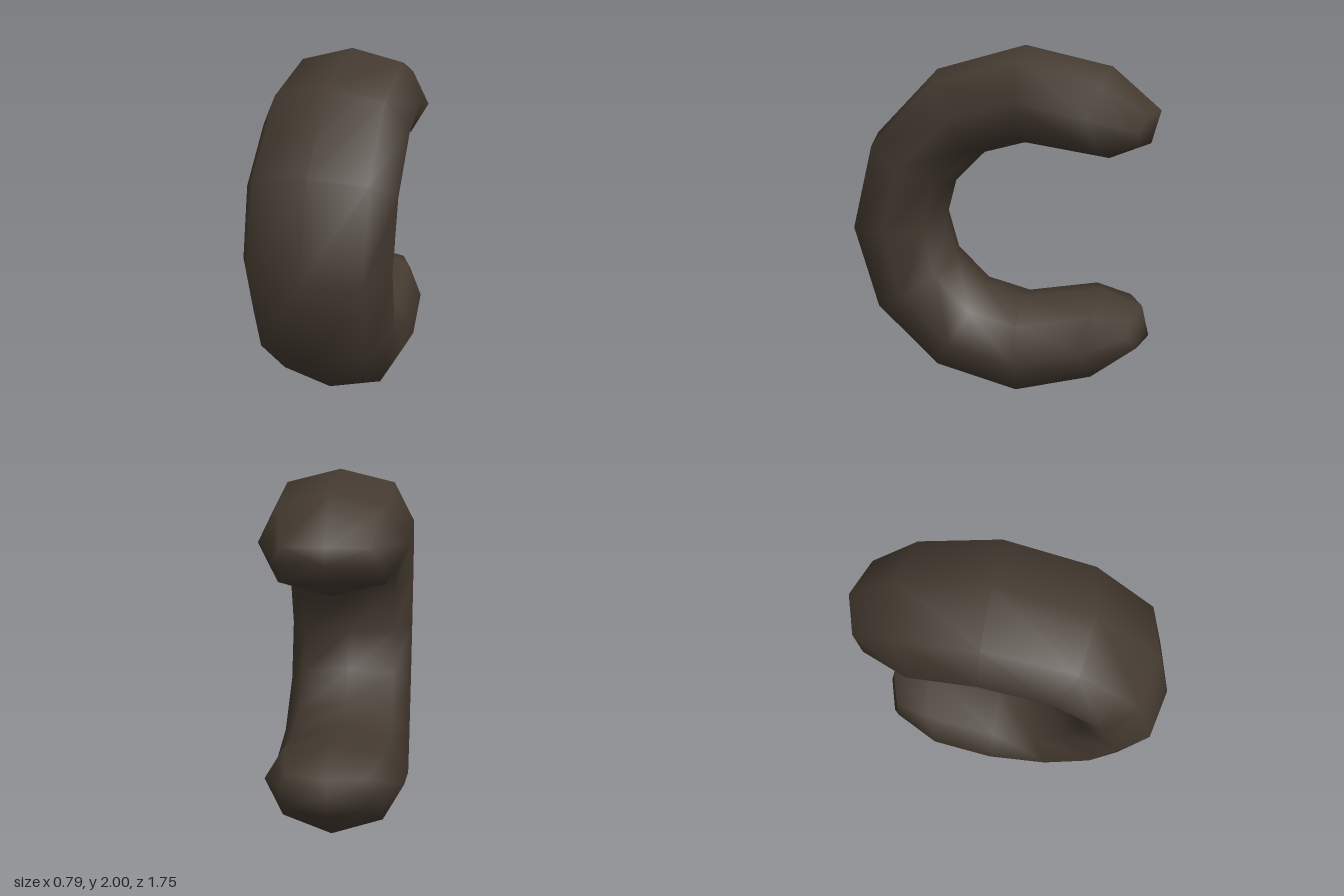
import * as THREE from 'three';

// Half of the eight-sided tube section: [x, radius from the arc centre]
const SECTION = [[0, 1], [0.29, 0.93], [0.397, 0.73], [0.29, 0.535], [0, 0.465]];
// Upper tip half sections, outer to inner: [x, height above centre, z]
const SHOULDER = [[0, 0.89, -0.6], [0.27, 0.82, -0.55], [0.38, 0.64, -0.49], [0.27, 0.45, -0.55], [0, 0.39, -0.6]];
const TIP = [[0, 0.66, -0.87], [0.21, 0.65, -0.8], [0.26, 0.57, -0.75], [0.21, 0.49, -0.76], [0, 0.48, -0.825]];
const CAP = [0, 0.57, -0.847];
const SIDES = 8;

// Complete a half section by mirroring it in x
const fullRing = (half) => [...half, ...half.slice(1, 4).reverse().map(([x, y, z]) => [-x, y, z])];
const below = (ring) => ring.map(([x, y, z]) => [x, -y, z]);

function createTube() {
  const shoulder = fullRing(SHOULDER), tip = fullRing(TIP);
  const rings = [below(tip), below(shoulder)];
  // Half-circle arc from bottom to top
  for (let i = 0; i <= 6; i++) {
    const t = -Math.PI / 2 + (i * Math.PI) / 6;
    rings.push(fullRing(SECTION.map(([x, r]) => [x, r * Math.sin(t), -0.125 + r * Math.cos(t)])));
  }
  rings.push(shoulder, tip);

  const points = [...rings.flat(), [CAP[0], -CAP[1], CAP[2]], CAP];
  const index = [];
  const id = (i, j) => i * SIDES + (j % SIDES);
  const last = rings.length - 1;
  const start = rings.length * SIDES;
  for (let j = 0; j < SIDES; j++) {
    for (let i = 0; i < last; i++) {
      index.push(id(i, j), id(i, j + 1), id(i + 1, j + 1));
      index.push(id(i, j), id(i + 1, j + 1), id(i + 1, j));
    }
    // Rounded end caps
    index.push(id(0, j + 1), id(0, j), start);
    index.push(id(last, j), id(last, j + 1), start + 1);
  }
  const geometry = new THREE.BufferGeometry();
  geometry.setAttribute('position', new THREE.Float32BufferAttribute(points.flat(), 3));
  geometry.setIndex(index);
  geometry.translate(0, 1, 0);
  geometry.computeVertexNormals();
  return geometry;
}

export function createModel() {
  const darkBrown = new THREE.MeshStandardMaterial({ color: 0x443a30 });
  darkBrown.name = 'darkBrown';
  const group = new THREE.Group();
  group.name = 'curvedTube';
  const tube = new THREE.Mesh(createTube(), darkBrown);
  tube.name = 'openRing';
  group.add(tube);
  return group;
}
